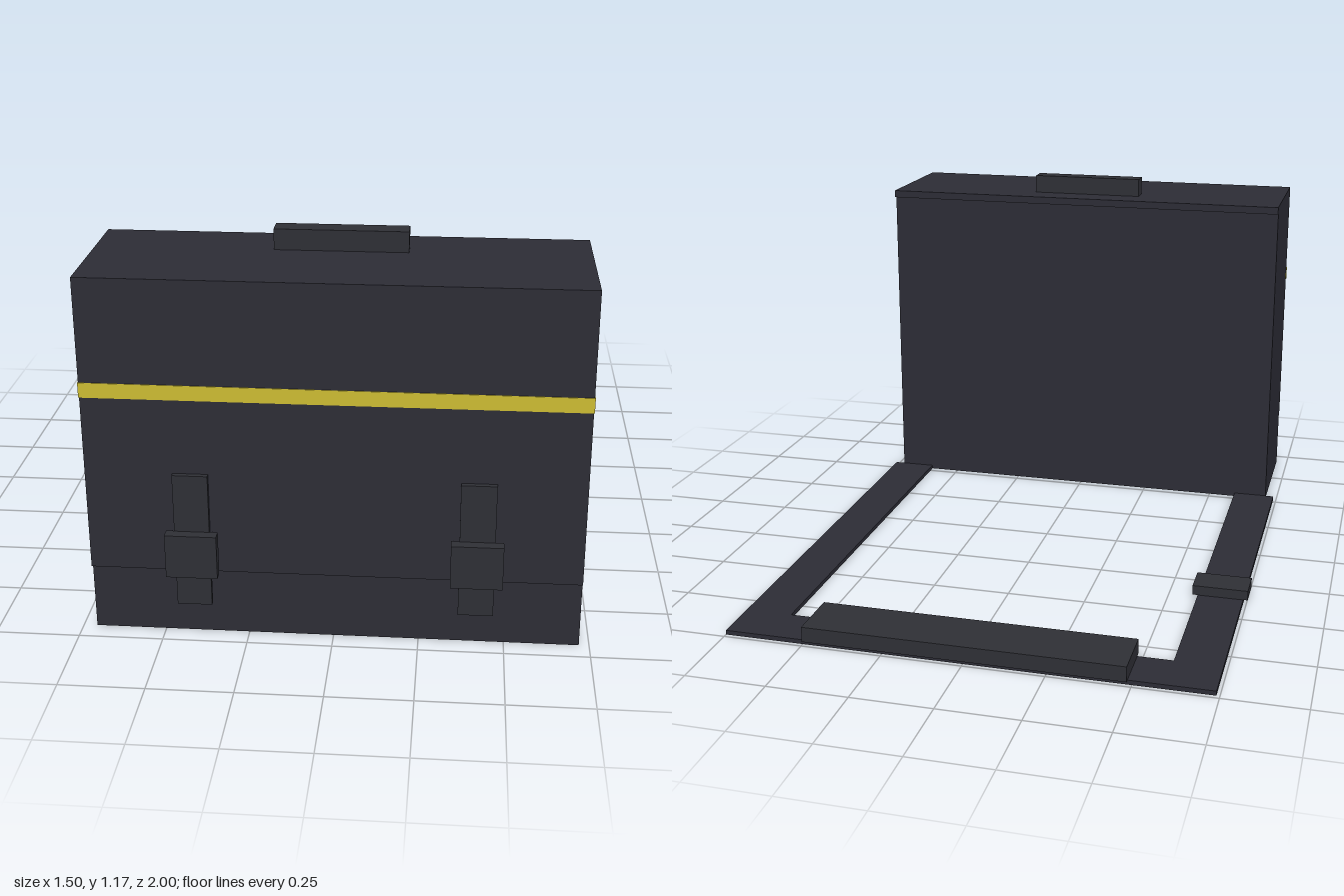
import * as THREE from 'three';

export function createModel() {
  const model = new THREE.Group();
  model.name = 'satchel';

  const material = (name, color) => {
    const m = new THREE.MeshStandardMaterial({ color });
    m.name = name;
    return m;
  };
  const fabric = material('dark fabric', 0x2c2c35);
  const trim = material('dark trim', 0x2e2f35);
  const yellow = material('yellow', 0xcaba32);

  // Box given by its extents along x, y and z
  const box = (name, mat, [x0, x1], [y0, y1], [z0, z1], parent = model) => {
    const mesh = new THREE.Mesh(new THREE.BoxGeometry(x1 - x0, y1 - y0, z1 - z0), mat);
    mesh.position.set((x0 + x1) / 2, (y0 + y1) / 2, (z0 + z1) / 2);
    mesh.name = name;
    parent.add(mesh);
    return mesh;
  };

  // Bag body with the lid folded over the top and down the front
  const width = [-0.71, 0.72];
  box('body', fabric, width, [0, 1.08], [0.525, 0.94]);
  box('lidTop', fabric, width, [1.08, 1.105], [0.51, 0.955]);
  box('frontFlap', fabric, width, [0.21, 1.08], [0.94, 0.955]);
  box('stripe', yellow, [-0.712, 0.722], [0.75, 0.795], [0.942, 0.957]);
  box('handle', trim, [-0.19, 0.198], [1.105, 1.167], [0.61, 0.67]);

  // Two front closures, each a strap with a buckle
  for (const [side, x] of [['right', -0.405], ['left', 0.415]]) {
    const closure = new THREE.Group();
    closure.name = side + 'Closure';
    closure.position.x = x;
    model.add(closure);
    box('strap', trim, [-0.051, 0.051], [0.105, 0.523], [0.955, 0.97], closure);
    box('buckle', trim, [-0.075, 0.075], [0.21, 0.345], [0.968, 1.0], closure);
  }

  // Shoulder strap lying flat behind the bag as a U-shaped loop
  const loop = new THREE.Shape([
    [-0.74, -0.52], [-0.595, -0.52], [-0.595, 0.84], [0.602, 0.84],
    [0.602, -0.52], [0.75, -0.52], [0.75, 0.987], [-0.74, 0.987],
  ].map(([x, y]) => new THREE.Vector2(x, y)));
  const strapGeometry = new THREE.ExtrudeGeometry(loop, { depth: 0.014, bevelEnabled: false });
  strapGeometry.rotateX(-Math.PI / 2);
  const shoulderStrap = new THREE.Mesh(strapGeometry, fabric);
  shoulderStrap.name = 'shoulderStrap';
  model.add(shoulderStrap);

  // Shoulder pad and length adjuster on the strap
  box('shoulderPad', trim, [-0.487, 0.497], [0.014, 0.062], [-1.0, -0.825]);
  box('strapAdjuster', trim, [-0.754, -0.578], [0.014, 0.045], [-0.39, -0.287]);

  return model;
}
